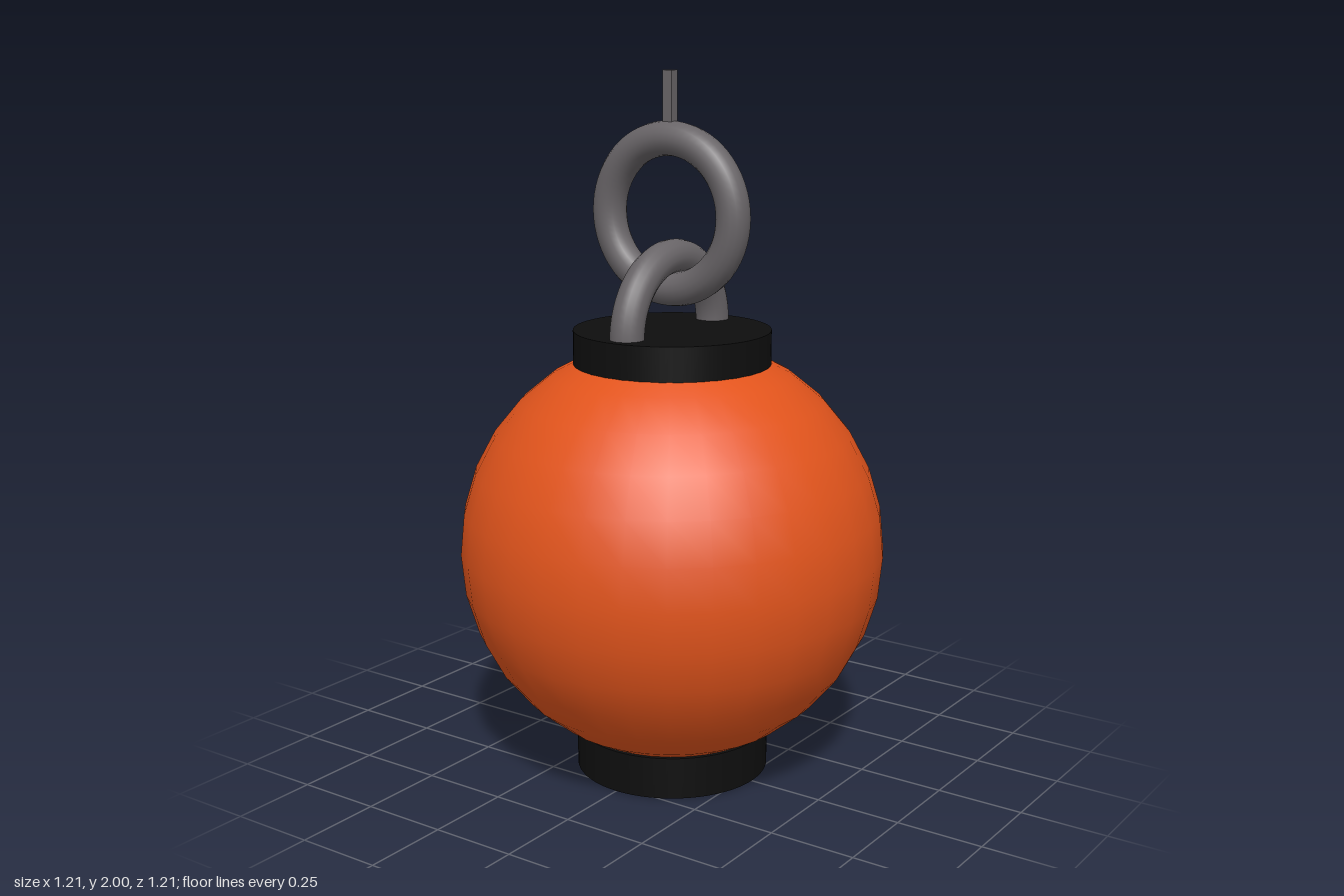
import * as THREE from 'three';

export function createModel() {
  const group = new THREE.Group();
  const orange = new THREE.MeshStandardMaterial({ color: 0xe2541c });
  const black = new THREE.MeshStandardMaterial({ color: 0x0e0e0e });
  const metal = new THREE.MeshStandardMaterial({ color: 0x686467 });

  function add(name, geometry, material, x, y, z) {
    const mesh = new THREE.Mesh(geometry, material);
    mesh.name = name;
    mesh.position.set(x, y, z);
    group.add(mesh);
    return mesh;
  }

  // Round lantern body
  add('body', new THREE.SphereGeometry(0.605, 32, 16), orange, 0, 0.66, 0);

  // Base and top discs
  add('baseCap', new THREE.CylinderGeometry(0.278, 0.278, 0.12, 64), black, 0, 0.06, 0);
  add('topCap', new THREE.CylinderGeometry(0.278, 0.278, 0.11, 64), black, 0, 1.235, 0);

  // Half link rising from the top disc, running front to back
  const loop = add('capLoop', new THREE.TorusGeometry(0.208, 0.048, 16, 32, Math.PI), metal, -0.004, 1.285, 0);
  loop.rotation.y = Math.PI / 2;

  // Hanging ring threaded through the half link
  add('hangingRing', new THREE.TorusGeometry(0.207, 0.048, 16, 64), metal, -0.005, 1.61, 0.003);

  // Thin square rod, sunk slightly into the ring
  add('hangingRod', new THREE.BoxGeometry(0.029, 0.17, 0.029), metal, -0.005, 1.915, 0.003);

  return group;
}
